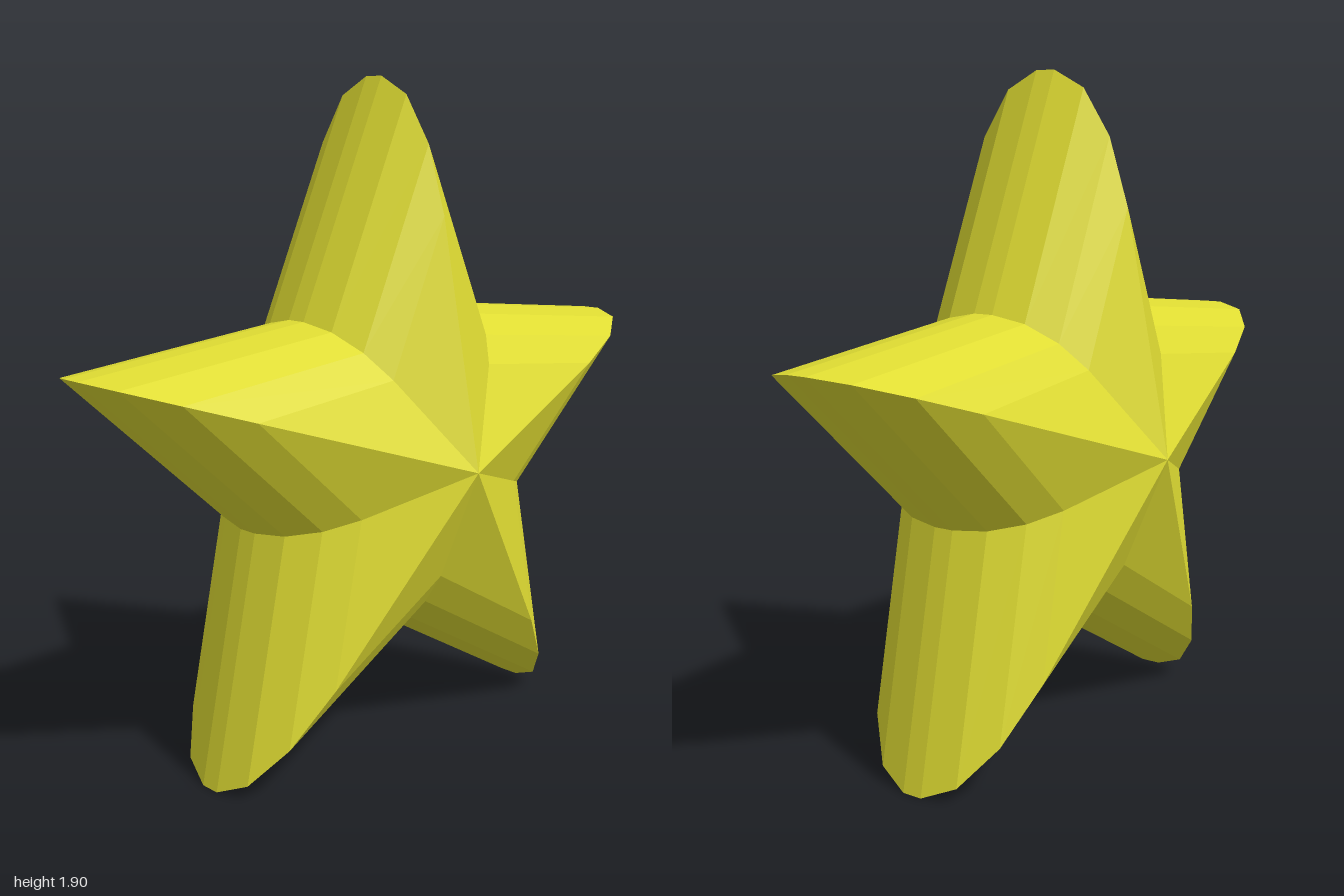
import * as THREE from 'three';

const OUTER = 1.0515, INNER = 0.495, CENTRE_Y = 0.8507;

// Depth and scale of each star-shaped section, from front apex to rounded rim
const half = [[0.408, 0], [0.272, 0.648], [0.212, 0.828], [0.127, 0.952], [0.03, 1]];
const sections = [...half, ...half.map(([z, s]) => [-z, s]).reverse()];

// Corner j of a section: even corners are tips, odd corners are valleys
function corner([z, scale], j) {
  const angle = Math.PI / 2 + (j * Math.PI) / 5;
  const r = scale * (j % 2 ? INNER : OUTER);
  return [r * Math.cos(angle), CENTRE_Y + r * Math.sin(angle), z];
}

export function createModel() {
  const positions = [];
  for (let i = 0; i < sections.length - 1; i++) {
    const front = sections[i], back = sections[i + 1];
    for (let j = 0; j < 10; j++) {
      const k = (j + 1) % 10;
      const a = corner(front, j), b = corner(front, k);
      const c = corner(back, j), d = corner(back, k);
      // Sections of zero scale are the apexes, which need one triangle only
      if (back[1] > 0) positions.push(...a, ...c, ...d);
      if (front[1] > 0) positions.push(...a, ...(back[1] > 0 ? d : c), ...b);
    }
  }
  const geometry = new THREE.BufferGeometry();
  geometry.setAttribute('position', new THREE.Float32BufferAttribute(positions, 3));
  geometry.computeVertexNormals();

  const star = new THREE.Mesh(
    geometry,
    new THREE.MeshStandardMaterial({ color: 0xdedb32, flatShading: true })
  );
  star.name = 'star';

  const group = new THREE.Group();
  group.name = 'puffedStar';
  group.add(star);
  return group;
}
